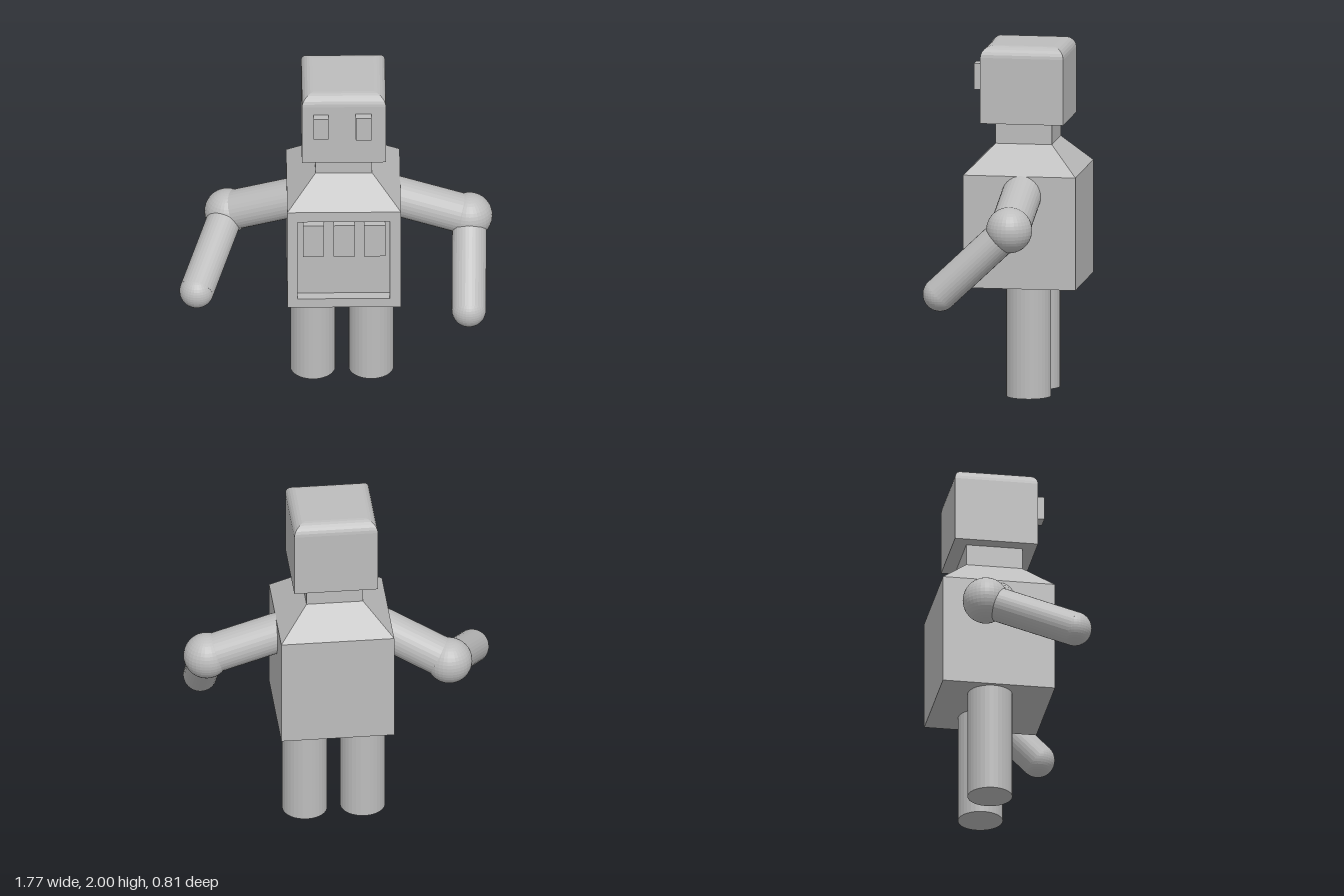
import * as THREE from 'three';

const CX = 0.04, CZ = -0.084; // vertical axis of the body

export function createModel() {
  const robot = new THREE.Group();
  robot.name = 'robot';
  const grey = new THREE.MeshStandardMaterial({ color: 0xbdbdbd });
  grey.name = 'grey';
  grey.flatShading = true;

  function add(name, geometry, x = 0, y = 0, z = 0, parent = robot) {
    const mesh = new THREE.Mesh(geometry, grey);
    mesh.name = name;
    mesh.position.set(x, y, z);
    parent.add(mesh);
    return mesh;
  }

  // box from its minimum and maximum corners
  function block(name, [x0, y0, z0], [x1, y1, z1]) {
    return add(name, new THREE.BoxGeometry(x1 - x0, y1 - y0, z1 - z0),
      (x0 + x1) / 2, (y0 + y1) / 2, (z0 + z1) / 2);
  }

  // square solid on the body axis from [half width, height] pairs
  function squareStack(name, profile) {
    const points = profile.map(([half, y]) => new THREE.Vector2(half * Math.SQRT2, y));
    return add(name, new THREE.LatheGeometry(points, 4, Math.PI / 4), CX, 0, CZ);
  }

  // round limb between two points
  function limb(name, from, to, radius, parent) {
    const dir = to.clone().sub(from);
    const mesh = add(name, new THREE.CylinderGeometry(radius, radius, dir.length(), 32),
      0, 0, 0, parent);
    mesh.position.copy(from).add(to).multiplyScalar(0.5);
    mesh.quaternion.setFromUnitVectors(new THREE.Vector3(0, 1, 0), dir.normalize());
    return mesh;
  }

  function ball(name, at, radius, parent) {
    return add(name, new THREE.SphereGeometry(radius, 32, 20), at.x, at.y, at.z, parent);
  }

  // head with a rounded top rim
  const round = 0.065, headProfile = [[0, 1.56], [0.237, 1.56]];
  for (let i = 0; i <= 6; i++) {
    const a = (i / 6) * Math.PI / 2;
    headProfile.push([0.237 - round + round * Math.cos(a), 2 - round + round * Math.sin(a)]);
  }
  headProfile.push([0, 2]);
  squareStack('head', headProfile);
  block('rightEye', [-0.132, 1.748, 0.14], [-0.047, 1.884, 0.2]);
  block('leftEye', [0.106, 1.741, 0.14], [0.196, 1.889, 0.2]);

  // neck and sloping shoulders
  squareStack('neck', [[0.16, 1.42], [0.16, 1.57]]);
  squareStack('shoulders', [[0.32, 1.277], [0.16, 1.437]]);

  // torso: solid block with a framed recess on the chest
  const front = 0.236, recess = 0.06;
  block('torso', [-0.28, 0.634, -0.404], [0.36, 1.277, front - recess]);
  const frame = new THREE.Shape();
  frame.moveTo(-0.28, 0.634).lineTo(0.36, 0.634).lineTo(0.36, 1.277).lineTo(-0.28, 1.277);
  const opening = new THREE.Path();
  opening.moveTo(-0.222, 0.692).lineTo(-0.222, 1.212).lineTo(0.297, 1.212).lineTo(0.297, 0.692);
  frame.holes.push(opening);
  add('chestFrame', new THREE.ExtrudeGeometry(frame, { depth: recess, bevelEnabled: false }),
    0, 0, front - recess);
  [-0.132, 0.04, 0.212].forEach((x, i) => {
    block(`chestButton${i + 1}`, [x - 0.06, 0.978, front - recess], [x + 0.06, 1.187, front]);
  });

  // legs
  for (const [name, x] of [['rightLeg', -0.132], ['leftLeg', 0.196]]) {
    add(name, new THREE.CylinderGeometry(0.127, 0.127, 0.634, 32), x, 0.317, -0.111);
  }

  // arms: upper arm, elbow ball, forearm and rounded hand
  const arms = {
    leftArm: [[0.2, 1.212, -0.095], [0.75, 1.036, -0.088], [0.742, 0.659, 0.308]],
    rightArm: [[-0.12, 1.217, -0.055], [-0.612, 0.99, -0.215], [-0.791, 0.769, 0.262]],
  };
  for (const [name, joints] of Object.entries(arms)) {
    const arm = new THREE.Group();
    arm.name = name;
    robot.add(arm);
    const [shoulder, elbow, hand] = joints.map((p) => new THREE.Vector3(...p));
    limb('upperArm', shoulder, elbow, 0.113, arm);
    ball('elbow', elbow, 0.13, arm);
    limb('forearm', elbow, hand, 0.097, arm);
    ball('hand', hand, 0.097, arm);
  }
  return robot;
}
